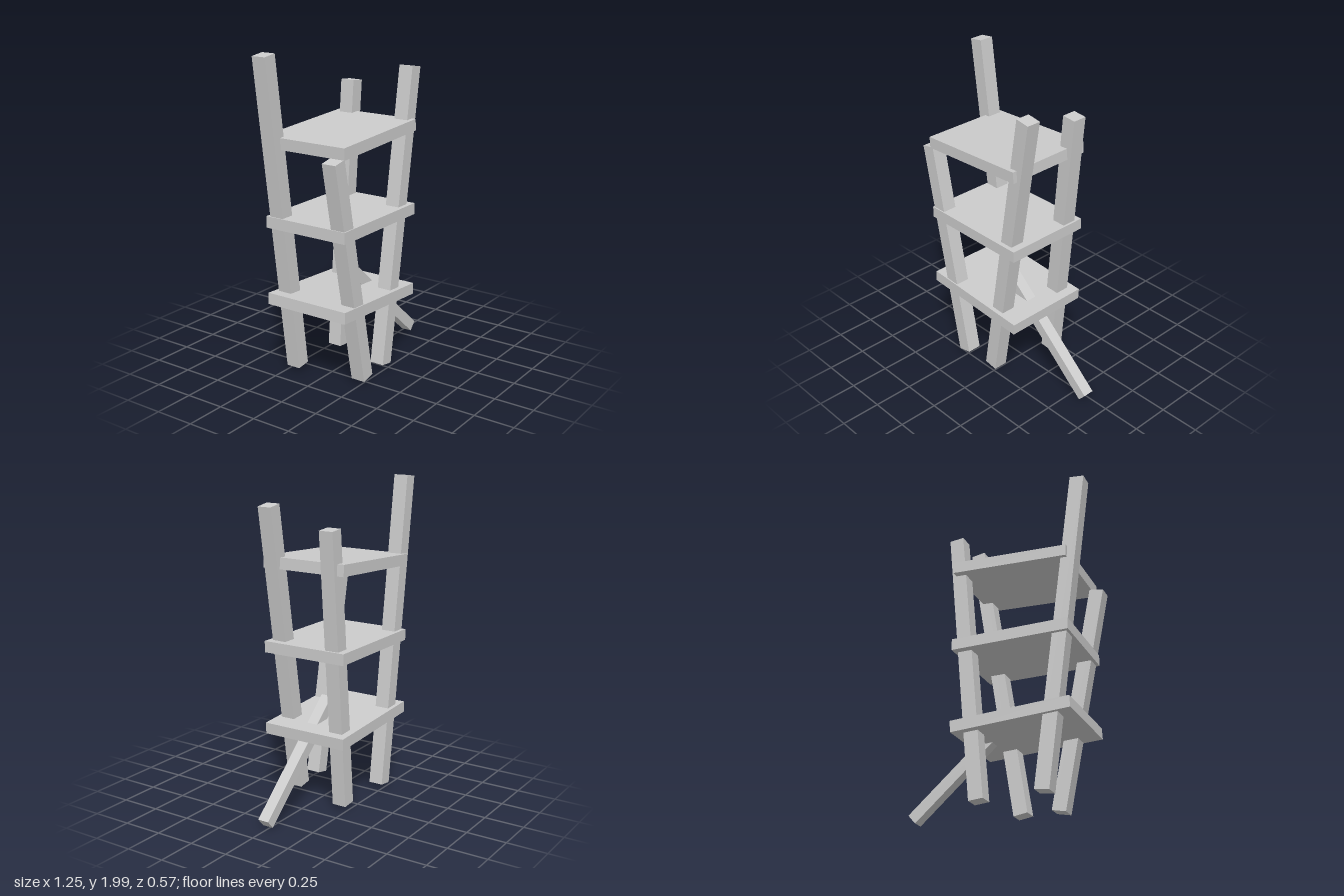
import * as THREE from 'three';

const material = new THREE.MeshStandardMaterial({ color: 0xcccccc, flatShading: true });

// Square-cut beam whose centre line runs from a to b in the plane at depth z
function beam(name, a, b, z, thickness, depth) {
  const dx = b[0] - a[0], dy = b[1] - a[1];
  const mesh = new THREE.Mesh(new THREE.BoxGeometry(thickness, Math.hypot(dx, dy), depth), material);
  mesh.position.set((a[0] + b[0]) / 2, (a[1] + b[1]) / 2, z);
  mesh.rotation.z = -Math.atan2(dx, dy);
  mesh.name = name;
  return mesh;
}

export function createModel() {
  const group = new THREE.Group();
  group.name = 'cricketyShelf';

  // Four leaning posts of uneven height
  group.add(
    beam('frontRightPost', [-0.258, 0.042], [-0.54, 1.438], 0.23, 0.09, 0.092),
    beam('backRightPost', [-0.325, 0.035], [-0.585, 1.994], -0.213, 0.09, 0.092),
    beam('frontLeftPost', [-0.025, 0.041], [0.269, 1.866], 0.21, 0.09, 0.092),
    beam('backLeftPost', [0.08, 0.032], [0.232, 1.75], -0.192, 0.09, 0.092),
  );

  // Three boards, the top and bottom ones tilted
  const boards = [['bottomBoard', 0.492, -3.2], ['middleBoard', 0.995, 0], ['topBoard', 1.5, 3.2]];
  for (const [name, y, tilt] of boards) {
    const board = new THREE.Mesh(new THREE.BoxGeometry(0.737, 0.071, 0.567), material);
    board.position.set(-0.141, y, 0);
    board.rotation.z = THREE.MathUtils.degToRad(tilt);
    board.name = name;
    group.add(board);
  }

  // Diagonal prop through the bottom board
  group.add(beam('prop', [0.598, 0.033], [-0.081, 0.63], 0.02, 0.07, 0.072));
  return group;
}
